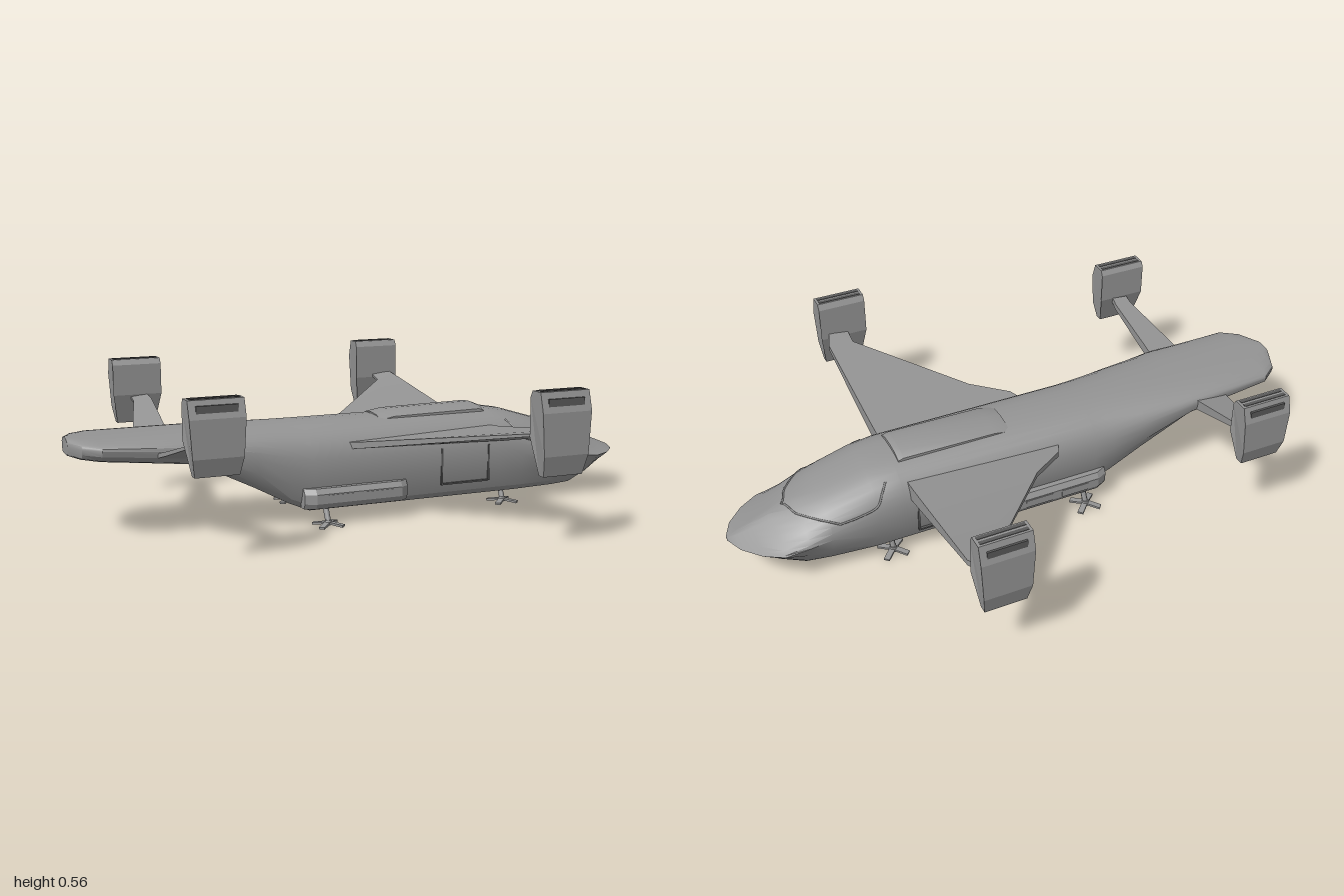
import * as THREE from 'three';
import { toCreasedNormals } from 'three/addons/utils/BufferGeometryUtils.js';

const hull = new THREE.MeshStandardMaterial({ color: 0x949494, side: THREE.DoubleSide });
const dark = new THREE.MeshStandardMaterial({ color: 0x5a5a5a });

function add(parent, name, geo, x = 0, y = 0, z = 0, material = hull) {
  const m = new THREE.Mesh(geo, material);
  m.name = name;
  m.position.set(x, y, z);
  parent.add(m);
  return m;
}

// Skin a list of equal-length closed rings of [x, y, z], capping both ends
function loft(rings, crease = 0.5) {
  const n = rings[0].length, pos = rings.flat(), idx = [];
  for (let i = 0; i < rings.length - 1; i++)
    for (let j = 0; j < n; j++) {
      const a = i * n + j, b = i * n + (j + 1) % n;
      idx.push(a, b, a + n, b, b + n, a + n);
    }
  const last = (rings.length - 1) * n;
  for (let j = 1; j < n - 1; j++) idx.push(0, j + 1, j, last, last + j, last + j + 1);
  // turn the faces outward when the enclosed volume is negative
  let vol = 0;
  const v = (i) => new THREE.Vector3(...pos[i]);
  for (let i = 0; i < idx.length; i += 3)
    vol += v(idx[i]).dot(v(idx[i + 1]).cross(v(idx[i + 2])));
  if (vol < 0) idx.reverse();
  const g = new THREE.BufferGeometry();
  g.setAttribute('position', new THREE.Float32BufferAttribute(pos.flat(), 3));
  g.setIndex(idx);
  return toCreasedNormals(g, crease);
}

// Fuselage stations: z, half width, top, widest height, bottom, wedge (0 rounded, 1 straight-sided)
const stations = [
  [-1.11, 0.012, 0.163, 0.16, 0.157, 1],
  [-1.08, 0.08, 0.176, 0.16, 0.143, 1],
  [-1.02, 0.145, 0.2, 0.16, 0.115, 1],
  [-0.95, 0.188, 0.228, 0.162, 0.082, 0.9],
  [-0.86, 0.19, 0.263, 0.17, 0.047, 0.4],
  [-0.775, 0.19, 0.295, 0.18, 0.045, 0.12],
  [-0.6, 0.19, 0.348, 0.195, 0.045, 0],
  [-0.5, 0.19, 0.365, 0.2, 0.045, 0],
  [0.27, 0.19, 0.365, 0.2, 0.045, 0],
  [0.35, 0.19, 0.365, 0.22, 0.08, 0],
  [0.48, 0.19, 0.365, 0.26, 0.15, 0],
  [0.69, 0.19, 0.365, 0.31, 0.255, 0],
  [1.03, 0.175, 0.362, 0.335, 0.29, 0],
  [1.09, 0.13, 0.362, 0.335, 0.297, 0],
  [1.125, 0.05, 0.361, 0.335, 0.303, 0],
];
// Lower side corners: rounded width, wedge width, depth
const lower = [[0.97, 0.78, 0.45], [0.86, 0.58, 0.85], [0.72, 0.5, 1]];

function stationAt(z) {
  let i = 0;
  while (i < stations.length - 2 && stations[i + 1][0] < z) i++;
  const a = stations[i], b = stations[i + 1], t = (z - a[0]) / (b[0] - a[0]);
  return a.map((q, k) => q + (b[k] - q) * t);
}

// Point on the upper skin, angle 0 at the ridge and PI/2 at the side
function upper([z, hw, top, mid, , wedge], a) {
  const s = Math.sin(a), c = Math.max(Math.cos(a), 0), e = 0.8 + 1.2 * wedge;
  return [hw * Math.sign(s) * Math.abs(s) ** e, mid + (top - mid) * c ** e, z];
}

function bodyRing(st) {
  const [z, hw, , mid, bot, wedge] = st, ring = [];
  for (let i = -8; i <= 8; i++) ring.push(upper(st, (i / 8) * Math.PI / 2));
  const side = lower.map(([fx, wx, fy]) =>
    [hw * (fx + (wx - fx) * Math.sqrt(wedge)), mid + (bot - mid) * fy, z]);
  return [...ring, ...side, ...side.map(([x, y]) => [-x, y, z]).reverse()];
}

function strip(points, r) {
  const curve = new THREE.CatmullRomCurve3(points.map((p) => new THREE.Vector3(...p)));
  return new THREE.TubeGeometry(curve, 40, r, 5);
}

// Blunt-fronted wing from sections: x, y, front z, back z, front thickness
function wing(sections) {
  return loft(sections.map(([x, y, f, b, t]) => [
    [x, y - t / 2, f], [x, y + t / 2, f], [x, y + t * 0.2, b], [x, y - t * 0.2, b],
  ]), 0.3);
}

// Upright engine pod, angular outline extruded fore and aft, narrower at the foot
function pod(parent, name, x, y, z, h) {
  const g = new THREE.Group();
  g.name = name;
  g.position.set(x, y, z);
  const outline = [[0.022, 1], [-0.03, 1], [-0.042, 0.92], [-0.042, 0.45],
    [-0.008, 0], [0.022, 0], [0.042, 0.25], [0.042, 0.76]];
  const shape = new THREE.Shape(outline.map(([a, b]) => new THREE.Vector2(a, b * h)));
  const geo = new THREE.ExtrudeGeometry(shape, { depth: 0.19, bevelEnabled: false });
  geo.translate(0, 0, -0.095);
  const p = geo.attributes.position;
  for (let i = 0; i < p.count; i++)
    p.setZ(i, p.getZ(i) * (0.8 + 0.2 * Math.min(1, p.getY(i) / (0.45 * h))));
  geo.computeVertexNormals();
  add(g, 'podShell', geo);
  add(g, 'sideVent', new THREE.BoxGeometry(0.012, 0.03, 0.14), 0.03, 0.87 * h, 0, dark);
  for (const vx of [-0.017, 0.007])
    add(g, 'topVent', new THREE.BoxGeometry(0.014, 0.004, 0.17), vx, h, 0, dark);
  parent.add(g);
}

// Landing leg with a four-armed foot
function landingLeg(parent, name, x, z, topX, topY) {
  const g = new THREE.Group();
  g.name = name;
  g.position.set(x, 0, z);
  add(g, 'strut', strip([[0, 0.012, 0], [(topX - x) / 2, topY / 2 + 0.006, 0], [topX - x, topY, 0]], 0.011));
  for (let i = 0; i < 4; i++) {
    const a = (i + 0.5) * Math.PI / 2;
    const toe = add(g, 'toe', new THREE.BoxGeometry(0.058, 0.008, 0.022),
      Math.cos(a) * 0.032, 0.008, Math.sin(a) * 0.032);
    toe.rotation.set(0, -a, -0.14, 'YXZ');
  }
  add(g, 'ankle', new THREE.CylinderGeometry(0.012, 0.018, 0.016, 8), 0, 0.013, 0);
  parent.add(g);
}

function buildSide() {
  const g = new THREE.Group();
  add(g, 'mainWing', wing([
    [0.15, 0.28, -0.475, 0.13, 0.066], [0.21, 0.289, -0.475, 0.1, 0.06],
    [0.305, 0.306, -0.475, -0.035, 0.052], [0.69, 0.377, -0.475, -0.375, 0.022],
    [0.76, 0.397, -0.45, -0.375, 0.03],
  ]));
  add(g, 'rearWing', wing([
    [0.14, 0.295, 0.71, 0.85, 0.045], [0.235, 0.322, 0.71, 0.828, 0.038],
    [0.455, 0.393, 0.7, 0.77, 0.024], [0.52, 0.41, 0.71, 0.77, 0.026],
  ]));
  pod(g, 'wingPod', 0.785, 0.255, -0.392, 0.29);
  pod(g, 'rearPod', 0.532, 0.302, 0.744, 0.252);

  // Lower side fairing that carries the rear leg
  const fairing = (z, d) => [[0.16, 0.065], [0.2 + d, 0.065], [0.212 + d, 0.085],
    [0.212 + d, 0.12], [0.198 + d, 0.14], [0.16, 0.14]].map(([x, y]) => [x, y, z]);
  add(g, 'sideFairing', loft([fairing(-0.1, -0.012), fairing(-0.07, 0.008),
    fairing(0.27, 0.008), fairing(0.31, -0.012)], 0.3));
  for (const z of [0.02, 0.17])
    add(g, 'fairingPanel', new THREE.BoxGeometry(0.008, 0.03, 0.11), 0.219, 0.102, z);
  landingLeg(g, 'rearLeg', 0.208, 0.223, 0.17, 0.085);
  landingLeg(g, 'frontLeg', 0.14, -0.54, 0.115, 0.06);

  // Side door seams
  for (const z of [-0.45, -0.25])
    add(g, 'doorSeam', new THREE.BoxGeometry(0.008, 0.14, 0.007), 0.187, 0.175, z, dark);
  add(g, 'doorSill', new THREE.BoxGeometry(0.01, 0.006, 0.2), 0.183, 0.105, -0.35, dark);

  // Side window edge running aft from the windshield and up to the roof
  const rail = [[-0.74, 1.2], [-0.67, 1.24], [-0.6, 1.2], [-0.575, 0.95], [-0.55, 0.7]];
  add(g, 'windowRail', strip(rail.map(([z, a]) => upper(stationAt(z), a)), 0.004));
  return g;
}

export function createModel() {
  const root = new THREE.Group();
  root.name = 'aircraft';
  const craft = new THREE.Group();
  craft.name = 'airframe';
  craft.rotation.y = -28.5 * Math.PI / 180;
  craft.position.set(-0.035, 0, -0.019);
  root.add(craft);

  add(craft, 'fuselage', loft(stations.map(bodyRing)));

  // Windshield lower frame, angular and bowed toward the nose
  const frame = [];
  for (let i = -12; i <= 12; i++) {
    const t = Math.abs(i / 12);
    const z = t < 0.4 ? -0.9 + 0.07 * t : -0.872 + 0.22 * (t - 0.4);
    frame.push(upper(stationAt(z), (i / 12) * 1.2));
  }
  add(craft, 'windshieldFrame', strip(frame, 0.004));

  // Low crowned roof hatch
  const hatch = (z, y) => [[-0.085, 0.33], [-0.085, y - 0.018], [-0.05, y - 0.004], [0, y],
    [0.05, y - 0.004], [0.085, y - 0.018], [0.085, 0.33]].map(([x, h]) => [x, h, z]);
  add(craft, 'roofHatch', loft([hatch(-0.48, 0.378), hatch(-0.46, 0.385),
    hatch(-0.1, 0.38), hatch(-0.04, 0.37)], 0.35));

  const right = buildSide(), left = buildSide();
  right.name = 'starboardSide';
  left.name = 'portSide';
  left.scale.x = -1;
  craft.add(right, left);
  return root;
}
